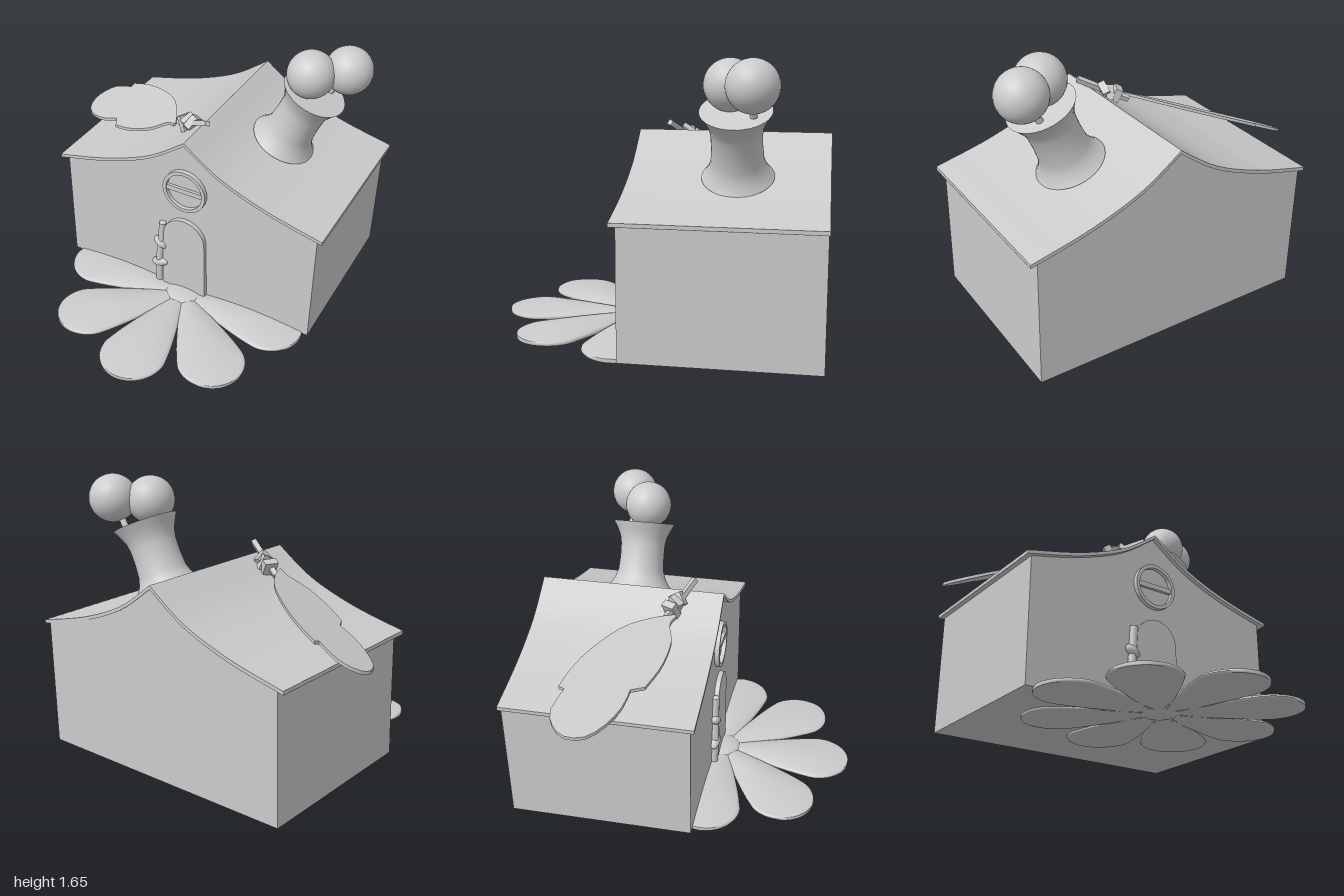
import * as THREE from 'three';
import { ParametricGeometry } from 'three/addons/geometries/ParametricGeometry.js';

const mat = new THREE.MeshStandardMaterial({ color: 0xcccccc });
const flat = new THREE.MeshStandardMaterial({ color: 0xcccccc, flatShading: true });
const V = (x, y, z) => new THREE.Vector3(x, y, z);
const CX = 0.09; // ridge line of the house

export function createModel() {
  const model = new THREE.Group();
  const add = (name, geo, pos = [0, 0, 0], rot = [0, 0, 0], scale = [1, 1, 1], material = mat) => {
    const m = new THREE.Mesh(geo, material);
    m.name = name;
    m.position.set(...pos);
    m.rotation.set(...rot);
    m.scale.set(...scale);
    model.add(m);
    return m;
  };
  const extrude = (shape, depth) =>
    new THREE.ExtrudeGeometry(shape, { depth, bevelEnabled: false, curveSegments: 20 });
  // rod between two points
  const rod = (name, a, b, r, sides = 12, material = mat) => {
    const m = add(name, new THREE.CylinderGeometry(r, r, a.distanceTo(b), sides), [0, 0, 0], [0, 0, 0], [1, 1, 1], material);
    m.position.copy(a).lerp(b, 0.5);
    m.quaternion.setFromUnitVectors(V(0, 1, 0), b.clone().sub(a).normalize());
    return m;
  };

  // sagging roof line from ridge to eave, mirrored across the ridge
  const slope = new THREE.SplineCurve([[0, 1.185], [0.24, 1.02], [0.54, 0.9], [0.86, 0.818], [0.9, 0.81]]
    .map(p => new THREE.Vector2(...p))).getPoints(24);
  const roofLine = (drop, reach) => {
    const half = slope.map(p => new THREE.Vector2(Math.min(p.x, reach), p.y - drop));
    const left = half.slice(1).reverse().map(p => new THREE.Vector2(CX - p.x, p.y));
    return [...left, ...half.map(p => new THREE.Vector2(CX + p.x, p.y))];
  };

  // house body with gables
  const gable = roofLine(0.018, 0.86);
  const body = new THREE.Shape([new THREE.Vector2(CX - 0.86, 0.03), new THREE.Vector2(CX + 0.86, 0.03), ...gable.reverse()]);
  add('houseBody', extrude(body, 1.105), [0, 0, -0.985]);

  // roof shell
  const roof = new THREE.Shape([...roofLine(0.022, 0.9), ...roofLine(0, 0.9).reverse()]);
  add('roof', extrude(roof, 1.14), [0, 0, -0.99]);

  // arched door
  const door = new THREE.Shape();
  door.moveTo(-0.155, 0.03);
  door.lineTo(0.155, 0.03);
  door.lineTo(0.145, 0.46);
  door.absarc(0, 0.46, 0.145, 0, Math.PI, false);
  door.closePath();
  add('door', extrude(door, 0.04), [CX, 0, 0.11]);

  // round window with a crossbar
  const ring = new THREE.Shape().absarc(0, 0, 0.145, 0, Math.PI * 2, false);
  ring.holes.push(new THREE.Path().absarc(0, 0, 0.122, 0, Math.PI * 2, true));
  add('windowFrame', extrude(ring, 0.04), [CX, 0.83, 0.11]);
  add('windowPane', new THREE.CircleGeometry(0.13, 40), [CX, 0.83, 0.124]);
  add('windowBar', new THREE.BoxGeometry(0.25, 0.032, 0.025), [CX, 0.83, 0.13]);

  // stalk beside the door with two knots
  const stalk = new THREE.CatmullRomCurve3([V(-0.092, 0.06, 0.135), V(-0.088, 0.25, 0.14), V(-0.075, 0.4, 0.135), V(-0.066, 0.53, 0.135)]);
  add('doorStalk', new THREE.TubeGeometry(stalk, 16, 0.024, 10));
  add('stalkTop', new THREE.SphereGeometry(0.024, 12, 8), [-0.066, 0.53, 0.135], [0, 0, 0], [1, 0.3, 1]);
  add('stalkKnot', new THREE.SphereGeometry(1, 20, 12), [-0.08, 0.37, 0.14], [0, 0, -0.6], [0.053, 0.03, 0.03]);
  add('stalkKnot', new THREE.SphereGeometry(1, 20, 12), [-0.083, 0.21, 0.138], [0, 0, 0.35], [0.066, 0.033, 0.033]);

  // flower doormat: eight domed petals around a flattened centre
  const R = 0.82, END = 0.61, W = 0.207;
  const petal = new ParametricGeometry((u, v, out) => {
    const r = 0.06 + (R - 0.06) * Math.sin(u * Math.PI / 2);
    const w = r < END ? W * (0.1 + 0.9 * Math.sin(Math.min(1, r / END) * 1.35) / Math.sin(1.35) * (0.75 + 0.25 * r / END))
      : W * Math.sqrt(Math.max(0, 1 - ((r - END) / (R - END)) ** 2));
    const a = v * Math.PI * 2, side = -Math.cos(a);
    const dome = 0.03 * (1 - side * side) * Math.sin(Math.PI * r / (R + 0.02));
    const thick = 0.011 * THREE.MathUtils.clamp(4 * Math.sin(a), -1, 1);
    out.set(w * side, 0.027 + (thick > 0 ? dome : dome * 0.3) + thick, r);
  }, 28, 28);
  petal.computeVertexNormals();
  for (let i = 0; i < 8; i++) add('petal', petal, [0.1, 0, 0.165], [0, i * Math.PI / 4, 0]);
  add('flowerCentre', new THREE.SphereGeometry(1, 28, 16), [0.1, 0.034, 0.155], [0, 0, 0], [0.122, 0.034, 0.122]);

  // tilted flared chimney
  const profile = [[0, 0], [0.205, 0], [0.185, 0.025], [0.163, 0.065], [0.148, 0.11], [0.142, 0.2],
    [0.143, 0.28], [0.152, 0.33], [0.175, 0.38], [0.2, 0.424], [0, 0.424]].map(p => new THREE.Vector2(...p));
  const chimneyGeo = new THREE.LatheGeometry(profile.slice(1, -1), 40);
  const chimney = add('chimney', chimneyGeo, [0.455, 0.98, -0.475], [0, 0, -0.425]);
  const cap = new THREE.Mesh(new THREE.CircleGeometry(0.2, 40), mat);
  cap.name = 'chimneyTop';
  cap.rotation.x = -Math.PI / 2;
  cap.position.y = 0.423;
  chimney.add(cap);

  // two balls on short stems
  for (const [base, ball] of [
    [V(0.57, 1.37, -0.45), V(0.61, 1.5, -0.44)],
    [V(0.685, 1.33, -0.575), V(0.79, 1.51, -0.575)]]) {
    rod('ballStem', base, ball, 0.02);
    add('chimneyBall', new THREE.SphereGeometry(0.145, 32, 24), ball.toArray());
  }

  // lobed leaf lying on the left slope: outline in plan, then sheared onto a sloping plane
  const curves = [
    [[-0.11, -0.11], [-0.17, -0.23], [-0.28, -0.38], [-0.45, -0.51], [-0.6, -0.59], [-0.74, -0.635]],
    [[-0.745, -0.6], [-0.88, -0.638], [-0.96, -0.605], [-1, -0.53], [-0.97, -0.42], [-0.87, -0.33], [-0.75, -0.27], [-0.64, -0.25]],
    [[-0.6, -0.175], [-0.45, -0.115], [-0.29, -0.093], [-0.18, -0.125], [-0.12, -0.1]]];
  const outline = curves.flatMap(c => new THREE.SplineCurve(c.map(([x, z]) => new THREE.Vector2(x, -z))).getPoints(14));
  const leaf = extrude(new THREE.Shape(outline.reverse()), 0.02).rotateX(-Math.PI / 2);
  const p = leaf.attributes.position;
  for (let i = 0; i < p.count; i++)
    p.setY(i, p.getY(i) + 1.105 + 0.45 * (p.getX(i) + 0.1) - 0.22 * (p.getZ(i) + 0.1));
  leaf.computeVertexNormals();
  add('roofLeaf', leaf);

  // leaf stem with a chunky knot
  rod('leafStem', V(-0.13, 1.09, -0.17), V(0.145, 1.235, -0.04), 0.022, 4, flat);
  for (let i = 0; i < 3; i++)
    add('leafKnot', new THREE.BoxGeometry(0.045, 0.1, 0.085), [-0.055 + i * 0.03, 1.125 + i * 0.016, -0.145 + i * 0.014],
      [0.5 * i, -0.45, 0.5 - 0.25 * i], [1, 1 - i * 0.1, 1], flat);

  return model;
}
